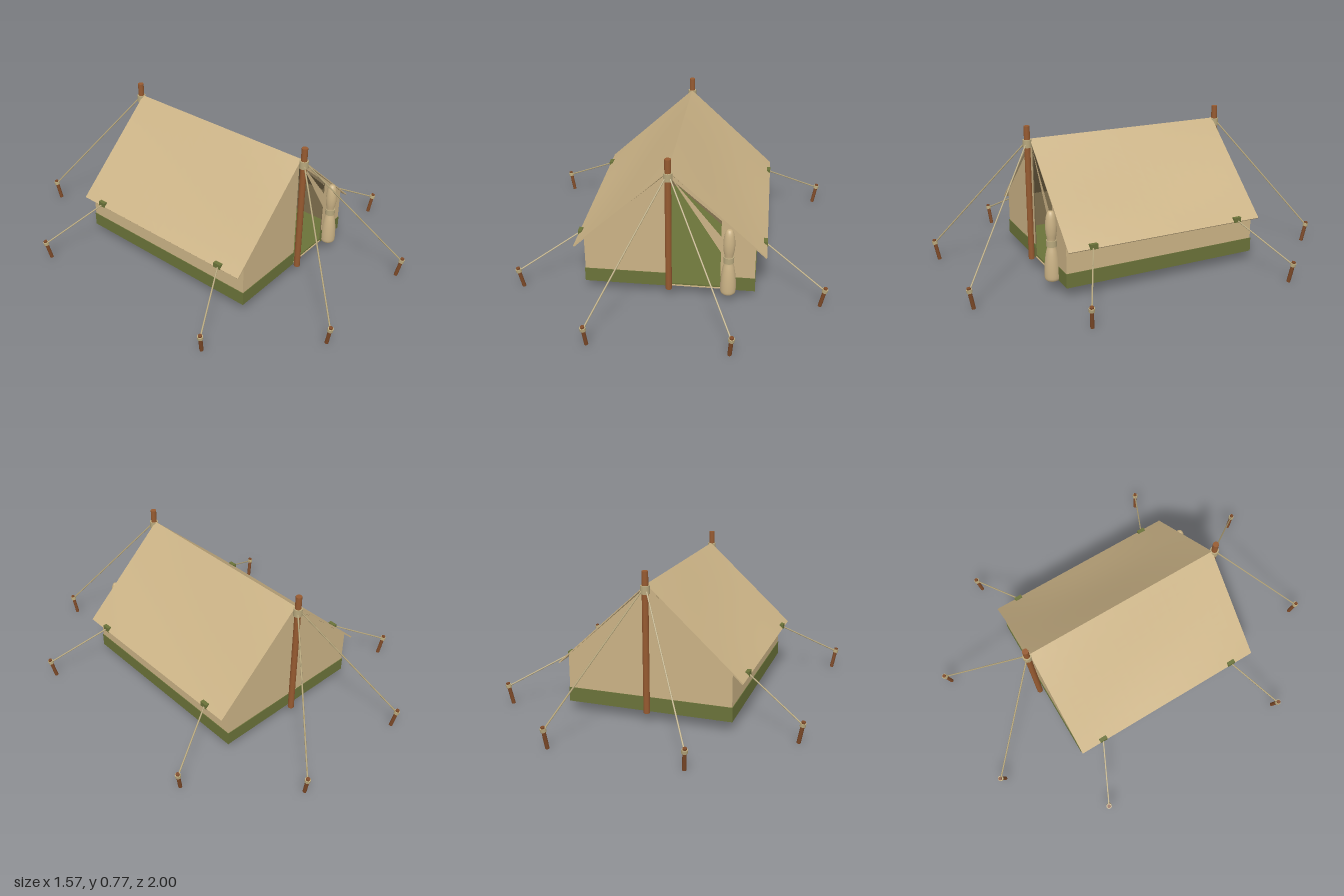
import * as THREE from 'three';

const mat = (name, color, side = THREE.FrontSide) => {
  const m = new THREE.MeshStandardMaterial({ color, side });
  m.name = name;
  return m;
};

export function createModel() {
  const tent = new THREE.Group();
  tent.name = 'ridgeTent';
  const canvas = mat('canvas', 0xcab285, THREE.DoubleSide);
  const lining = mat('shadedLining', 0x7e6e4d, THREE.DoubleSide);
  const green = mat('greenTrim', 0x6a7239);
  const wood = mat('poleWood', 0x965a30);
  const pegWood = mat('pegWood', 0x7e4a28);
  const rope = mat('rope', 0xb8a87d);

  const W = 0.425, D = 0.53, BASE = 0.056, EAVE = 0.303, APEX = 0.69;
  const HEM = 0.13 - BASE, HEM_Y = (0.13 + BASE) / 2;
  const add = (name, geo, material, x = 0, y = 0, z = 0) => {
    const m = new THREE.Mesh(geo, material);
    m.name = name;
    m.position.set(x, y, z);
    tent.add(m);
    return m;
  };
  const box = (name, material, w, h, d, x, y, z) =>
    add(name, new THREE.BoxGeometry(w, h, d), material, x, y, z);
  // Cylinder between two points
  const rod = (name, material, a, b, r, sides = 8) => {
    const dir = b.clone().sub(a);
    const m = add(name, new THREE.CylinderGeometry(r, r, dir.length(), sides), material);
    m.position.copy(a).add(b).multiplyScalar(0.5);
    m.quaternion.setFromUnitVectors(new THREE.Vector3(0, 1, 0), dir.normalize());
  };
  const shape = (pts) => new THREE.Shape(pts.map(([x, y]) => new THREE.Vector2(x, y)));
  const V = (x, y, z) => new THREE.Vector3(x, y, z);

  // Gable ends, the front one with a half-width doorway
  const back = shape([[-W, BASE], [W, BASE], [W, EAVE], [0, APEX], [-W, EAVE]]);
  const front = shape([[-W, BASE], [0, BASE], [0, 0.665], [0.255, 0.445], [0.255, BASE],
    [W, BASE], [W, EAVE], [0, APEX], [-W, EAVE]]);
  add('frontGable', new THREE.ShapeGeometry(front), canvas, 0, 0, D);
  add('backGable', new THREE.ShapeGeometry(back), canvas, 0, 0, -D).rotation.y = Math.PI;

  // Shaded inside: gables, then walls and roof as one strip facing inward
  add('frontLining', new THREE.ShapeGeometry(front), lining, 0, 0, D - 0.005).scale.x = 0.99;
  tent.children.at(-1).scale.x = 1;
  add('backLining', new THREE.ShapeGeometry(back), lining, 0, 0, 0.005 - D);
  const section = [[-0.42, 0.063], [-0.42, 0.268], [0, 0.66], [0.42, 0.268], [0.42, 0.063]];
  const verts = [];
  for (let i = 0; i < 4; i++) {
    const [a, b] = [section[i], section[i + 1]];
    const z = D - 0.006;
    verts.push(...a, z, ...a, -z, ...b, -z, ...a, z, ...b, -z, ...b, z);
  }
  const inside = new THREE.BufferGeometry();
  inside.setAttribute('position', new THREE.Float32BufferAttribute(verts, 3));
  inside.computeVertexNormals();
  add('wallAndRoofLining', inside, lining);

  // Groundsheet: green on top, canvas below
  box('groundsheet', green, 0.84, 0.006, 1.05, 0, 0.066, 0);
  box('groundsheetUnderside', canvas, W * 2, 0.005, D * 2, 0, 0.0585, 0);
  box('doorSill', green, 0.255, 0.014, 0.05, 0.13, 0.062, 0.5);

  for (const s of [-1, 1]) {
    // Side wall with its green hem
    add('sideWall', new THREE.PlaneGeometry(D * 2, EAVE - BASE), canvas, s * W, (EAVE + BASE) / 2, 0)
      .rotation.y = s * Math.PI / 2;
    box('sideHem', green, 0.006, HEM, D * 2 + 0.006, s * W, HEM_Y, 0);

    // Thin roof panel, sagging slightly between ridge and eave
    const roof = new THREE.BoxGeometry(1, 1, 1, 12, 1, 16);
    const p = roof.attributes.position;
    for (let i = 0; i < p.count; i++) {
      const u = p.getX(i) + 0.5, v = p.getZ(i);
      const t = s > 0 ? u : 1 - u;
      const drop = 0.016 * Math.sin(Math.PI * t) * Math.cos(Math.PI * v) + 0.007 * (0.5 - p.getY(i));
      p.setXYZ(i, s * (0.48 * t - drop * 0.67 * t), 0.703 - 0.443 * t - drop * 0.74, v * 1.08);
    }
    roof.computeVertexNormals();
    add('roofPanel', roof, canvas);
  }

  // End hems, leaving the doorway clear
  box('frontHem', green, W, HEM, 0.006, -W / 2, HEM_Y, D);
  box('frontHem', green, W - 0.255, HEM, 0.006, (W + 0.255) / 2, HEM_Y, D);
  box('backHem', green, W * 2, HEM, 0.006, 0, HEM_Y, -D);

  // Door flap gathered toward its tie
  add('gatheredFlap', new THREE.ShapeGeometry(
    shape([[0.01, 0.67], [0.27, 0.25], [0.305, 0.3]])), canvas, 0, 0, 0.537);
  const profile = [[0, 0.057], [0.034, 0.057], [0.039, 0.09], [0.036, 0.15], [0.029, 0.2], [0.021, 0.235],
    [0.021, 0.265], [0.027, 0.3], [0.029, 0.34], [0.024, 0.385], [0.014, 0.41], [0, 0.415]];
  const outline = new THREE.SplineCurve(profile.map(([x, y]) => new THREE.Vector2(x, y))).getPoints(36);
  add('tiedCurtain', new THREE.LatheGeometry(
    outline.map((q) => new THREE.Vector2(Math.max(q.x, 0), q.y)), 20), canvas, 0.295, 0, 0.553);
  add('curtainTie', new THREE.CylinderGeometry(0.026, 0.026, 0.032, 20), rope, 0.295, 0.248, 0.553);

  // Peg leaning away from the tent, with its guy rope and knot
  const guy = (from, x, z, lx, lz) => {
    rod('guyRope', rope, from, V(x, 0.1, z), 0.004, 6);
    const foot = V(x - lx * 0.018, 0.004, z - lz * 0.018);
    const head = V(x + lx * 0.003, 0.118, z + lz * 0.003);
    rod('peg', pegWood, foot, head, 0.01);
    rod('pegKnot', rope, foot.clone().lerp(head, 0.78), foot.clone().lerp(head, 0.93), 0.0145, 12);
  };

  for (const e of [-1, 1]) {
    // End pole with rope binding
    rod('pole', wood, V(0, BASE, e * 0.555), V(0, 0.77, e * 0.555), 0.016, 10);
    rod('poleBinding', rope, V(0, 0.66, e * 0.555), V(0, 0.7, e * 0.555), 0.023, 12);
    for (const s of [-1, 1]) {
      guy(V(s * 0.01, 0.68, e * 0.565), s * 0.337, e * 0.982, s * 0.4, e);
      guy(V(s * 0.47, 0.267, e * 0.408), s * 0.768, e * 0.553, s, e * 0.5);
      box('eaveToggle', green, 0.02, 0.026, 0.042, s * 0.471, 0.268, e * 0.408);
    }
  }
  return tent;
}
